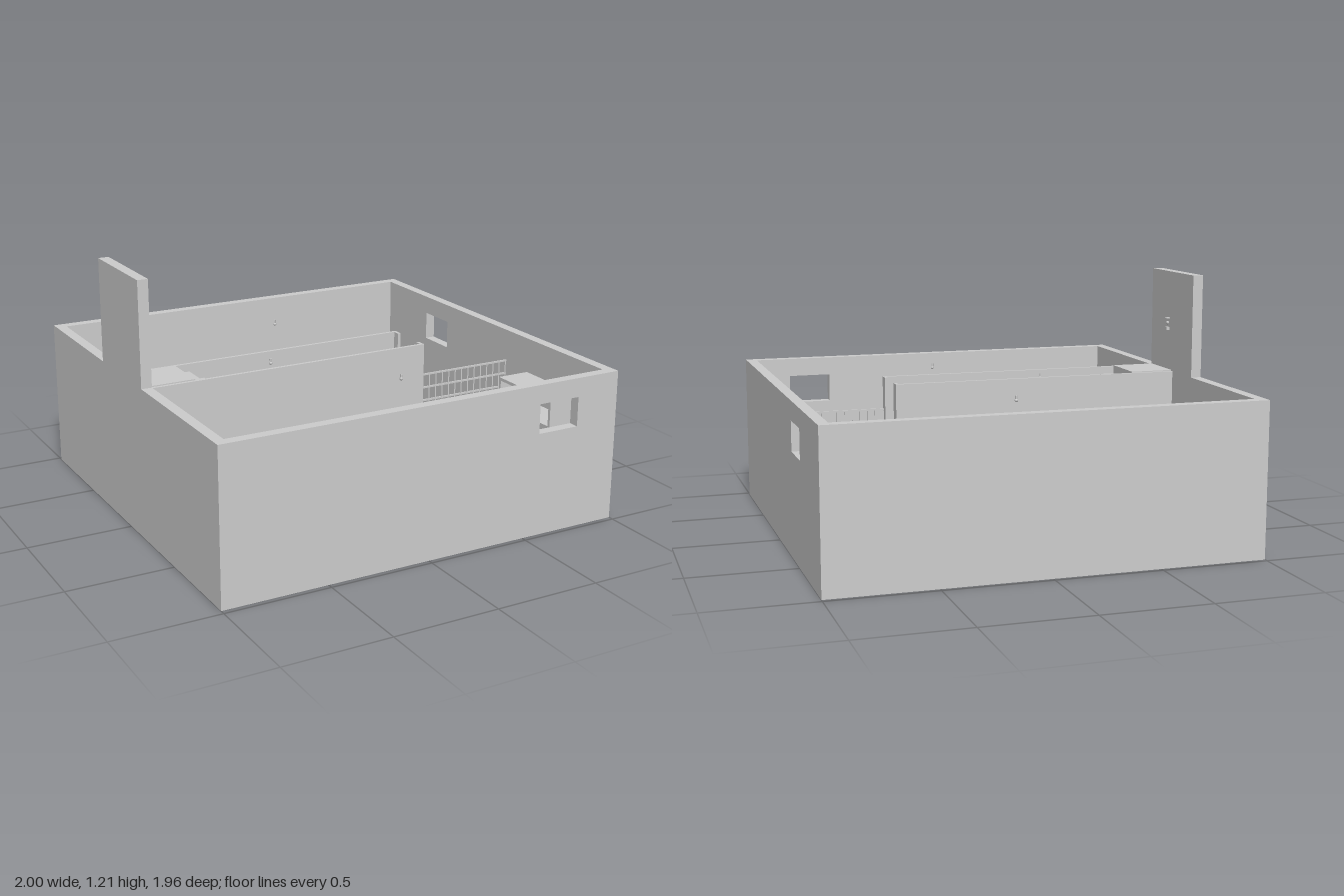
import * as THREE from 'three';
import { RoundedBoxGeometry } from 'three/addons/geometries/RoundedBoxGeometry.js';

const plaster = new THREE.MeshStandardMaterial({ color: 0xcccccc });
plaster.name = 'plain grey';

function add(parent, name, geo, x = 0, y = 0, z = 0) {
  const m = new THREE.Mesh(geo, plaster);
  m.name = name;
  m.position.set(x, y, z);
  parent.add(m);
  return m;
}

// Box given by its limits on each axis, optionally with rounded edges
function box(parent, name, x0, x1, y0, y1, z0, z1, r = 0) {
  const s = [x1 - x0, y1 - y0, z1 - z0];
  const geo = r ? new RoundedBoxGeometry(...s, 3, r) : new THREE.BoxGeometry(...s);
  return add(parent, name, geo, (x0 + x1) / 2, (y0 + y1) / 2, (z0 + z1) / 2);
}

function group(parent, name, x = 0, y = 0, z = 0, turn = 0) {
  const g = new THREE.Group();
  g.name = name;
  g.position.set(x, y, z);
  g.rotation.y = turn;
  parent.add(g);
  return g;
}

// Upright wall slab with a rectangular window opening
function windowWall(parent, name, a0, a1, h, [w0, w1, v0, v1]) {
  const s = new THREE.Shape([[a0, 0], [a1, 0], [a1, h], [a0, h]].map(p => new THREE.Vector2(...p)));
  s.holes.push(new THREE.Path([[w0, v0], [w0, v1], [w1, v1], [w1, v0]].map(p => new THREE.Vector2(...p))));
  return add(parent, name, new THREE.ExtrudeGeometry(s, { depth: 0.05, bevelEnabled: false }));
}

const H = 0.72;

function buildShell(root) {
  const g = group(root, 'shell');
  windowWall(g, 'frontWall', -1, 1, H, [0.57, 0.78, 0.49, 0.63]).position.z = 0.925;
  box(g, 'backWall', -1, 1, 0, H, -0.98, -0.93);
  const right = windowWall(g, 'rightWall', -0.925, 0.93, H, [0.35, 0.555, 0.49, 0.63]);
  right.rotation.y = Math.PI / 2;
  right.position.x = 0.95;
  box(g, 'leftWall', -1, -0.95, 0, H, -0.93, 0.925);
  box(g, 'floor', -0.95, 0.95, 0.008, 0.02, -0.93, 0.925);
  // Raised doorway at the head of the stairs
  box(g, 'upperWall', -1, -0.95, H, 1.21, -0.285, -0.053);
  box(g, 'door', -1, -0.95, H, 1.21, -0.053, 0.185);
  const knob = add(g, 'doorKnob', new THREE.SphereGeometry(0.009, 12, 8), -0.937, 0.958, -0.03);
  knob.scale.x = 0.8;
  box(g, 'doorLatch', -0.95, -0.93, 0.978, 0.983, -0.03, -0.002);
  box(g, 'doorLock', -0.95, -0.935, 0.92, 0.935, -0.025, 0);
}

function buildStairs(root) {
  const g = group(root, 'stairs');
  // Partitions either side, each ending in a jamb
  box(g, 'stairWall', -0.95, 0.455, 0, H, -0.071, -0.056);
  box(g, 'stairWall', -0.95, 0.455, 0, H, 0.179, 0.195);
  box(g, 'stairJamb', 0.44, 0.455, 0.02, H, -0.056, -0.022);
  box(g, 'stairJamb', 0.44, 0.455, 0.02, H, 0.148, 0.179);
  box(g, 'landing', -0.95, -0.74, 0.69, 0.725, -0.056, 0.179);
  const n = 16, run = 1.18 / n, rise = 0.705 / (n + 1);
  for (let i = 0; i < n; i++) {
    const x = -0.74 + i * run, y = 0.725 - (i + 1) * rise;
    box(g, 'tread', x, x + run, y - 0.012, y, -0.056, 0.179);
    box(g, 'riser', x - 0.008, x, y, y + rise - 0.012, -0.056, 0.179);
  }
}

function buildFence(root) {
  const g = group(root, 'fence');
  for (let i = 0; i <= 13; i++) {
    const x = 0.458 + i * 0.0375;
    box(g, 'fenceBar', x - 0.003, x + 0.003, 0.02, 0.565, 0.18, 0.186);
  }
  for (let i = 0; i < 9; i++) {
    const y = 0.562 - i * 0.066;
    box(g, 'fenceRail', 0.455, 0.95, y - 0.004, y + 0.004, 0.179, 0.187);
  }
  box(g, 'fenceLatch', 0.787, 0.8, 0.27, 0.3, 0.187, 0.2);
}

function buildSofa(root) {
  const g = group(root, 'sofa');
  box(g, 'sofaBase', -0.26, 0.185, 0.04, 0.1, 0.66, 0.9);
  box(g, 'sofaBack', -0.31, 0.235, 0.03, 0.28, 0.885, 0.923, 0.012);
  for (const [a, b] of [[-0.31, -0.258], [0.183, 0.235]]) {
    box(g, 'sofaArm', a, b, 0.03, 0.2, 0.655, 0.89);
    for (const z of [0.68, 0.88]) box(g, 'sofaFoot', a + 0.01, b - 0.01, 0.02, 0.03, z - 0.015, z + 0.015);
  }
  for (const [a, b] of [[-0.256, -0.039], [-0.036, 0.181]]) {
    box(g, 'seatCushion', a, b, 0.1, 0.15, 0.657, 0.885, 0.01);
    box(g, 'backCushion', a, b, 0.15, 0.27, 0.787, 0.885, 0.025);
  }
}

function buildArmchair(root) {
  // Built facing +z, then turned towards the television
  const g = group(root, 'armchair', -0.025, 0, -0.337, Math.PI * 2 / 3);
  const w = 0.155, d = 0.135;
  box(g, 'chairBase', -w + 0.05, w - 0.05, 0.03, 0.13, -d, d);
  for (const s of [-1, 1]) {
    const a = s * w, b = s * (w - 0.05);
    box(g, 'chairArm', Math.min(a, b), Math.max(a, b), 0.02, 0.19, -d, d);
  }
  // Backrest with a sloping front
  const s = new THREE.Shape([[-d, 0.03], [-0.04, 0.03], [-0.04, 0.13], [-0.08, 0.29], [-d, 0.29]]
    .map(([z, y]) => new THREE.Vector2(-z, y)).reverse());
  const back = add(g, 'chairBack', new THREE.ExtrudeGeometry(s, { depth: 2 * w - 0.1, bevelEnabled: false }));
  back.rotation.y = Math.PI / 2;
  back.position.x = -w + 0.05;
}

function buildTelevision(root) {
  const t = group(root, 'televisionTable', 0.71, 0, -0.73, 0.56);
  box(t, 'tableTop', -0.094, 0.094, 0.17, 0.19, -0.124, 0.124);
  for (const x of [-0.08, 0.08]) for (const z of [-0.11, 0.11])
    box(t, 'tableLeg', x - 0.01, x + 0.01, 0.02, 0.17, z - 0.01, z + 0.01);
  const g = group(root, 'television', 0.712, 0.19, -0.72);
  box(g, 'televisionCase', -0.108, 0.108, 0, 0.16, -0.08, 0.08, 0.008);
  box(g, 'televisionScreen', -0.09, 0.05, 0.02, 0.14, 0.08, 0.084);
  for (const y of [0.08, 0.12]) {
    const k = add(g, 'televisionKnob', new THREE.CylinderGeometry(0.009, 0.009, 0.01, 12), 0.078, y, 0.084);
    k.rotation.x = Math.PI / 2;
  }
  add(g, 'antennaBase', new THREE.SphereGeometry(0.013, 12, 8), 0, 0.162, 0);
  for (const s of [-1, 1]) {
    const rod = add(g, 'antennaRod', new THREE.CylinderGeometry(0.002, 0.002, 0.1, 6), s * 0.028, 0.205, 0);
    rod.rotation.z = -s * 0.55;
  }
}

function buildFurniture(root) {
  // Open bookcase against the right wall
  const b = group(root, 'bookcase');
  box(b, 'bookcaseBack', 0.935, 0.95, 0.02, 0.55, 0.36, 0.77);
  for (const z of [0.36, 0.755]) box(b, 'bookcaseSide', 0.785, 0.935, 0.02, 0.55, z, z + 0.015);
  for (const y of [0.02, 0.145, 0.275, 0.405, 0.535])
    box(b, 'bookcaseShelf', 0.785, 0.935, y, y + 0.015, 0.375, 0.755);

  box(root, 'chest', -0.905, -0.555, 0.02, 0.27, -0.915, -0.725);
  box(root, 'wallPanel', -0.95, -0.902, 0.3, 0.44, -0.61, -0.505);

  // Low cabinet with two knobs and a slim top handle
  const c = group(root, 'cabinet');
  box(c, 'cabinetBody', -0.95, -0.856, 0.02, 0.3, -0.305, -0.1);
  box(c, 'cabinetHandle', -0.895, -0.889, 0.3, 0.312, -0.235, -0.18);
  for (const z of [-0.268, -0.155])
    add(c, 'cabinetKnob', new THREE.SphereGeometry(0.007, 10, 8), -0.852, 0.2, z);

  // Round open bin
  const profile = [[0, 0], [0.07, 0], [0.084, 0.2], [0.074, 0.2], [0.062, 0.012], [0, 0.012]];
  const geo = new THREE.LatheGeometry(profile.map(p => new THREE.Vector2(...p)), 32).toNonIndexed();
  geo.computeVertexNormals();
  add(root, 'bin', geo, -0.55, 0.02, 0.345);
}

function buildLamps(root) {
  for (const [x, z] of [[0.02, -0.535], [-0.3, 0.053], [0.11, 0.545]]) {
    const g = group(root, 'hangingLamp', x, 0, z);
    add(g, 'lampSocket', new THREE.CylinderGeometry(0.005, 0.005, 0.015, 10), 0, 0.7125, 0);
    add(g, 'lampBulb', new THREE.SphereGeometry(0.008, 12, 8), 0, 0.699, 0);
  }
}

export function createModel() {
  const root = new THREE.Group();
  root.name = 'basement';
  [buildShell, buildStairs, buildFence, buildSofa, buildArmchair, buildTelevision, buildFurniture, buildLamps]
    .forEach(f => f(root));
  return root;
}
